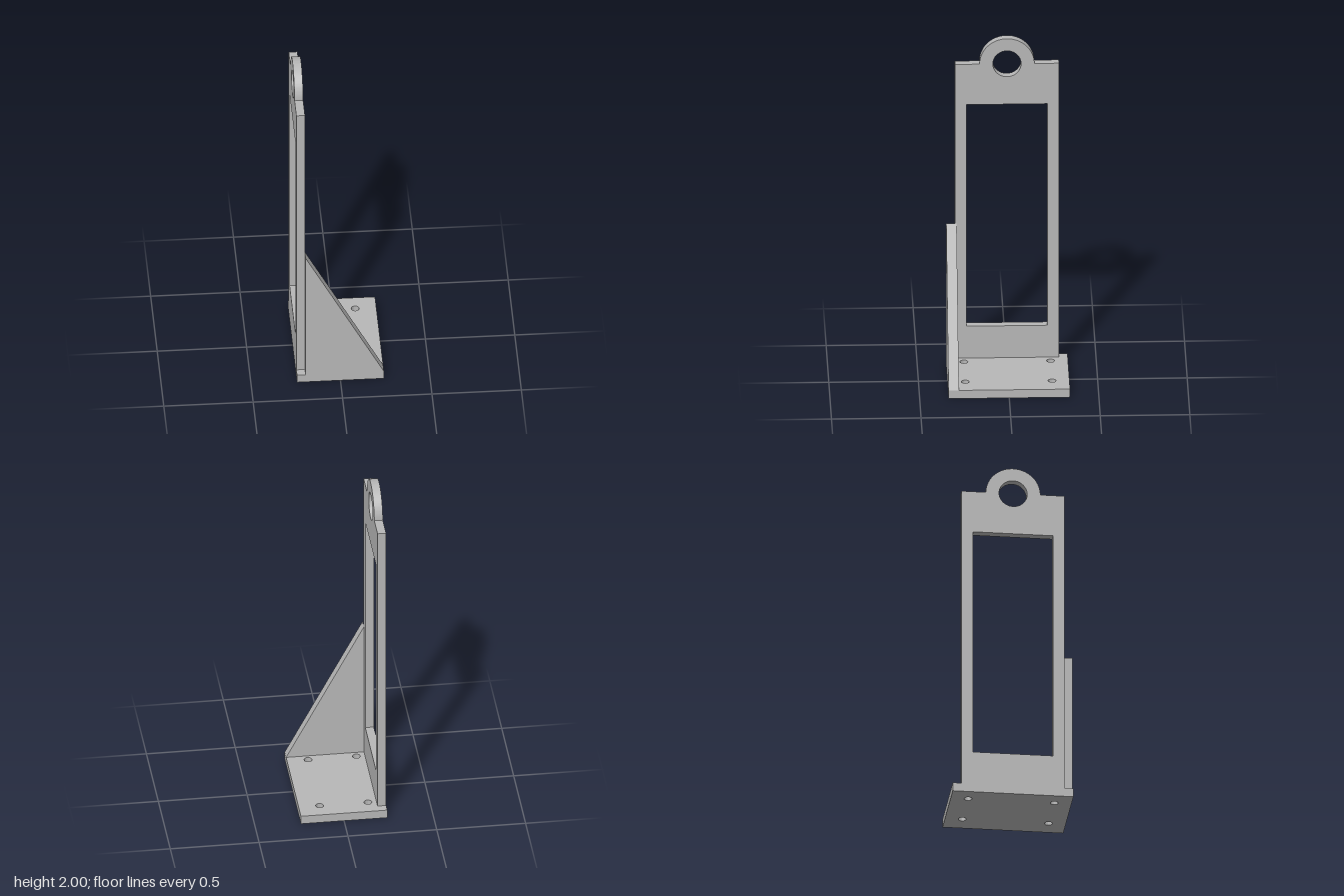
import * as THREE from 'three';
import { toCreasedNormals } from 'three/addons/utils/BufferGeometryUtils.js';

const gray = new THREE.MeshStandardMaterial({ color: 0xb8b8b8 });
gray.name = 'plain gray';

function polygon(points, Type = THREE.Shape) {
  return new Type(points.map(([x, y]) => new THREE.Vector2(x, y)));
}

function circleHole(x, y, r) {
  const path = new THREE.Path();
  path.absarc(x, y, r, 0, Math.PI * 2, true);
  return path;
}

function extrude(shape, depth) {
  return new THREE.ExtrudeGeometry(shape, { depth, bevelEnabled: false, curveSegments: 32 });
}

function part(name, geometry) {
  const mesh = new THREE.Mesh(toCreasedNormals(geometry, 0.6), gray);
  mesh.name = name;
  return mesh;
}

export function createModel() {
  const group = new THREE.Group();
  group.name = 'bracket';

  const halfX = 0.243, halfZ = 0.339, baseTop = 0.05, plateFront = -0.195;

  // Base plate with four screw holes
  const base = polygon([[-halfX, -halfZ], [halfX, -halfZ], [halfX, halfZ], [-halfX, halfZ]]);
  for (const x of [-0.147, 0.125])
    for (const z of [-0.242, 0.242]) base.holes.push(circleHole(x, z, 0.022));
  group.add(part('basePlate', extrude(base, baseTop).rotateX(Math.PI / 2).translate(0, baseTop, 0)));

  // Upright frame with a round lug on top, drawn in z and y
  const w = 0.29, top = 1.847, lug = 0.153;
  const frame = new THREE.Shape();
  frame.moveTo(-w, baseTop);
  frame.lineTo(w, baseTop);
  frame.lineTo(w, top);
  frame.lineTo(lug, top);
  frame.absarc(0, top, lug, 0, Math.PI, false);
  frame.lineTo(-w, top);
  frame.closePath();
  frame.holes.push(
    circleHole(0, top, 0.079),
    polygon([[-0.225, 0.245], [-0.225, 1.6], [0.225, 1.6], [0.225, 0.245]], THREE.Path)
  );
  group.add(part('uprightFrame',
    extrude(frame, halfX + plateFront).rotateY(-Math.PI / 2).translate(plateFront, 0, 0)));

  // Triangular side gusset
  const gusset = polygon([[plateFront, baseTop], [halfX, baseTop], [plateFront, 0.875]]);
  group.add(part('sideGusset', extrude(gusset, 0.058).translate(0, 0, halfZ - 0.058)));

  return group;
}
